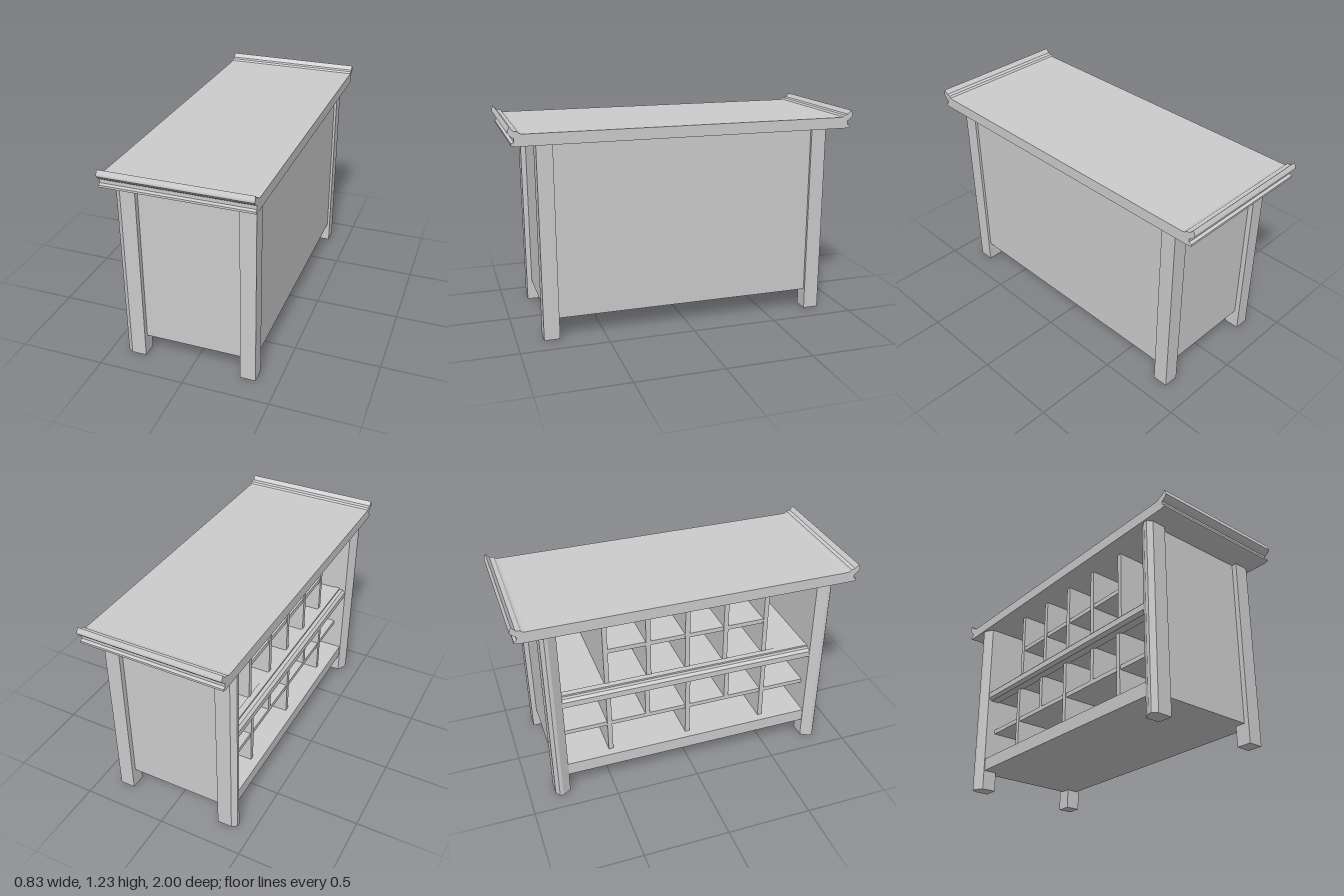
import * as THREE from 'three';

export function createModel() {
  const group = new THREE.Group();
  const mat = new THREE.MeshStandardMaterial({ color: 0xcccccc, flatShading: true });

  const add = (name, geo) => {
    const mesh = new THREE.Mesh(geo, mat);
    mesh.name = name;
    group.add(mesh);
  };
  // box given by its limits on each axis
  const box = (name, x0, x1, y0, y1, z0, z1) => {
    const geo = new THREE.BoxGeometry(x1 - x0, y1 - y0, z1 - z0);
    geo.translate((x0 + x1) / 2, (y0 + y1) / 2, (z0 + z1) / 2);
    add(name, geo);
  };
  // straight prism from a 2D outline
  const prism = (points, depth) => {
    const shape = new THREE.Shape(points.map(([a, b]) => new THREE.Vector2(a, b)));
    return new THREE.ExtrudeGeometry(shape, { depth, bevelEnabled: false });
  };

  // Table top with scrolled, upturned ends (outline in z, y)
  const end = [
    [0.96, 1.12], [0.983, 1.125], [0.983, 1.137], [0.967, 1.143], [0.967, 1.163],
    [0.985, 1.175], [1.0, 1.192], [0.998, 1.203], [0.988, 1.225], [0.968, 1.202],
    [0.945, 1.198], [0.935, 1.188], [0.92, 1.185],
  ];
  const outline = [...end, ...end.map(([z, y]) => [-z, y]).reverse()];
  const top = prism(outline, 0.83);
  top.translate(0, 0, -0.415);
  top.rotateY(-Math.PI / 2);
  add('tableTop', top);

  // Corner posts: plain on the closed side, moulded on the open side
  for (const s of [1, -1]) {
    const edge = s > 0 ? 'front' : 'back';
    box(edge + 'PlainPost', 0.285, 0.375, 0, 1.12, s > 0 ? 0.76 : -0.85, s > 0 ? 0.85 : -0.76);
    const section = [
      [-0.288, 0.85], [-0.375, 0.85], [-0.405, 0.83],
      [-0.405, 0.81], [-0.375, 0.76], [-0.288, 0.76],
    ].map(([x, z]) => [x, -z * s]);
    const post = prism(section, 1.12);
    post.rotateX(-Math.PI / 2);
    add(edge + 'MouldedPost', post);
    // End panel between the posts
    box(edge + 'EndPanel', -0.32, 0.345, 0.12, 1.12, s > 0 ? 0.76 : -0.82, s > 0 ? 0.82 : -0.76);
  }

  // Closed long side, floor and middle board
  box('longPanel', 0.335, 0.36, 0.12, 1.12, -0.82, 0.82);
  box('floorBoard', -0.37, 0.355, 0.12, 0.198, -0.765, 0.765);
  box('middleBoard', -0.31, 0.34, 0.605, 0.67, -0.765, 0.765);

  // Moulded rail along the middle board
  const rail = prism([
    [-0.30, 0.60], [-0.352, 0.60], [-0.372, 0.615], [-0.372, 0.65],
    [-0.357, 0.665], [-0.335, 0.665], [-0.335, 0.675], [-0.30, 0.675],
  ], 1.53);
  rail.translate(0, 0, -0.765);
  add('middleRail', rail);

  // Upper compartments
  const t = 0.014;
  for (const z of [-0.485, -0.235, 0, 0.235, 0.485]) {
    box('upperDivider', -0.305, 0.34, 0.665, 1.125, z - t, z + t);
  }
  box('upperShelf', -0.30, 0.34, 0.873, 0.9, -0.485, 0.485);

  // Lower compartments: full dividers, a long shelf, and short dividers above it
  for (const z of [-0.485, 0, 0.485]) {
    box('lowerDivider', -0.32, 0.34, 0.19, 0.61, z - t, z + t);
  }
  box('lowerShelf', -0.315, 0.34, 0.378, 0.404, -0.765, 0.765);
  for (const z of [-0.25, 0.25]) {
    box('shortDivider', -0.315, 0.34, 0.4, 0.61, z - t, z + t);
  }

  return group;
}
